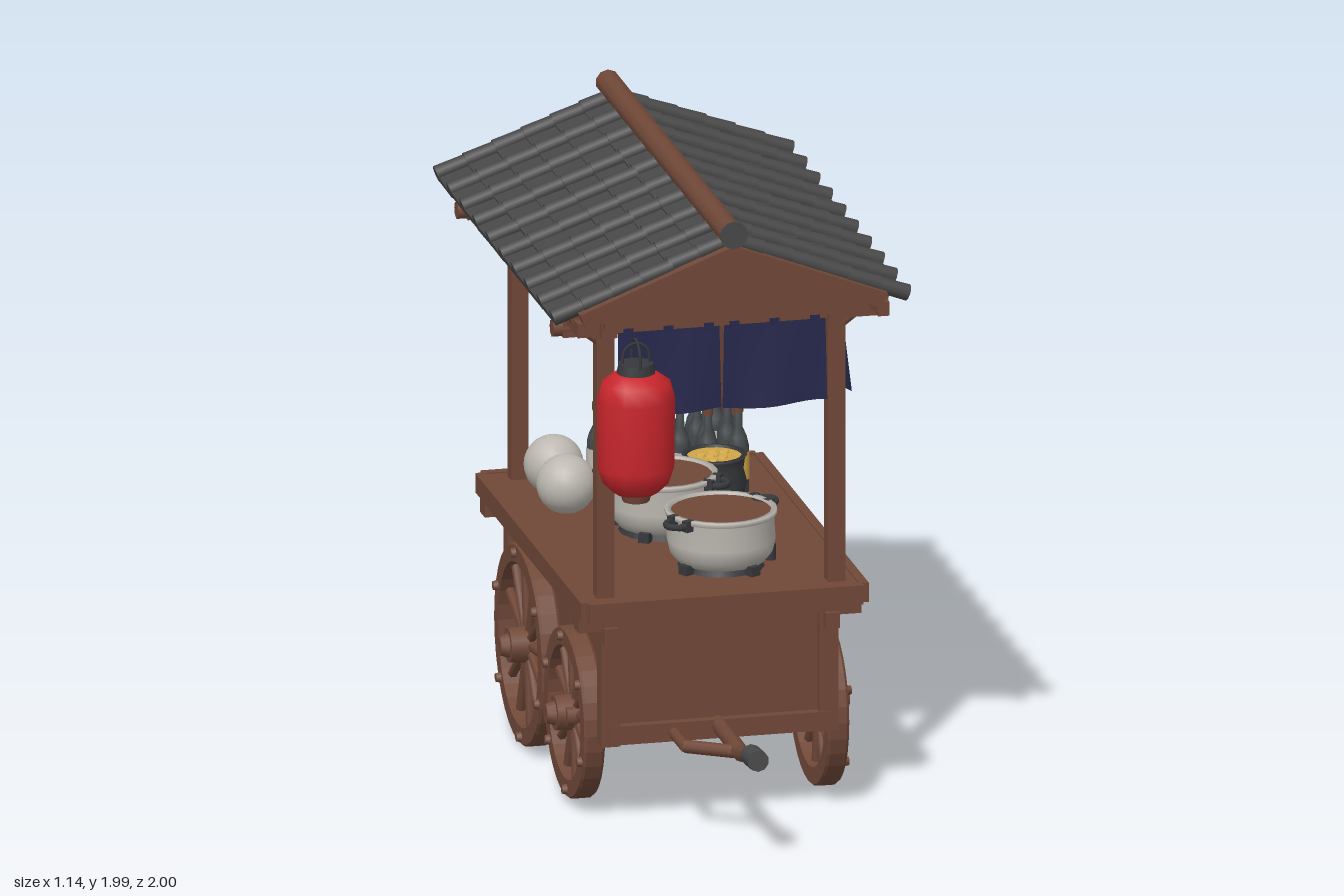
import * as THREE from 'three';

const paint = (name, color) => Object.assign(new THREE.MeshStandardMaterial({ color }), { name });
const wood = paint('brown wood', 0x704838);
const tile = paint('grey tile', 0x484848);
const cloth = paint('navy cloth', 0x26284c);
cloth.side = THREE.DoubleSide;
const red = paint('lantern red', 0xc8262c);
const white = paint('pale enamel', 0xbcb7b0);
const glass = paint('dark glass', 0x43484a);
const iron = paint('dark iron', 0x36383b);
const yellow = paint('yellow', 0xcfa546);

let seed = 7;
const rnd = () => ((seed = (seed * 16807) % 2147483647) / 2147483647) - 0.5;

function flat(geo) {
  const g = geo.index ? geo.toNonIndexed() : geo;
  g.computeVertexNormals();
  return g;
}
function add(parent, name, geo, mat, x = 0, y = 0, z = 0) {
  const m = new THREE.Mesh(geo, mat);
  m.name = name;
  m.position.set(x, y, z);
  parent.add(m);
  return m;
}
const box = (p, name, mat, w, h, d, x, y, z) => add(p, name, new THREE.BoxGeometry(w, h, d), mat, x, y, z);
const cyl = (p, name, mat, r1, r2, h, x, y, z, n = 16) =>
  add(p, name, new THREE.CylinderGeometry(r1, r2, h, n), mat, x, y, z);
// Round bar between two points
function bar(p, name, mat, a, b, r, n = 8) {
  const A = new THREE.Vector3(...a), B = new THREE.Vector3(...b), d = B.clone().sub(A);
  const m = cyl(p, name, mat, r, r, d.length(), 0, 0, 0, n);
  m.position.copy(A).add(B).multiplyScalar(0.5);
  m.quaternion.setFromUnitVectors(new THREE.Vector3(0, 1, 0), d.normalize());
  return m;
}
const lathe = (pts, n) => new THREE.LatheGeometry(pts.map(([r, y]) => new THREE.Vector2(r, y)), n);
function group(parent, name, x = 0, y = 0, z = 0) {
  const g = new THREE.Group();
  g.name = name;
  g.position.set(x, y, z);
  parent.add(g);
  return g;
}

function buildBody(root) {
  const g = group(root, 'cartBody');
  box(g, 'cabinet', wood, 0.66, 0.42, 1.22, 0, 0.5, -0.135);
  box(g, 'counterTop', wood, 0.88, 0.05, 1.39, 0, 0.732, -0.12);
  for (const s of [-1, 1]) {
    box(g, 'counterEdge', wood, 0.03, 0.062, 1.375, s * 0.44, 0.73, -0.12);
    box(g, 'sideTopRail', wood, 0.05, 0.05, 1.3, s * 0.345, 0.685, -0.135);
    box(g, 'sideSill', wood, 0.05, 0.06, 1.28, s * 0.325, 0.305, -0.135);
    // Planked sides
    for (let i = 0; i < 7; i++) box(g, 'plank', wood, 0.008, 0.36, 0.166, s * 0.333, 0.5, 0.375 - i * 0.171);
    for (const z of [0.475, -0.745]) {
      box(g, 'cornerPost', wood, 0.06, 0.44, 0.055, s * 0.345, 0.49, z);
      box(g, 'counterBracket', wood, 0.075, 0.06, 0.06, s * 0.41, 0.675, z);
      box(g, 'bracketPeg', wood, 0.045, 0.05, 0.045, s * 0.35, 0.635, z + Math.sign(z) * 0.035);
    }
    const endZ = s > 0 ? 0.59 : -0.83;
    box(g, 'counterEndEdge', wood, 0.865, 0.062, 0.03, 0, 0.73, endZ - s * 0.015);
    box(g, 'endSill', wood, 0.7, 0.06, 0.04, 0, 0.305, s > 0 ? 0.485 : -0.755);
    box(g, 'endTopRail', wood, 0.7, 0.05, 0.04, 0, 0.685, s > 0 ? 0.485 : -0.755);
  }
  for (const z of [0.225, -0.42]) {
    const y = z > 0 ? 0.29 : 0.327;
    bar(g, 'axle', wood, [-0.42, y, z], [0.42, y, z], 0.03);
    box(g, 'axleBeam', wood, 0.62, 0.05, 0.06, 0, 0.275, z);
  }
  box(g, 'propLeg', wood, 0.04, 0.2, 0.04, 0, 0.215, -0.69);
  // Front drawbar with a dark grip and a side brace
  bar(g, 'drawbar', wood, [0, 0.315, 0.45], [0, 0.31, 0.79], 0.026);
  bar(g, 'drawbarRise', wood, [0, 0.31, 0.78], [0, 0.345, 0.92], 0.026);
  bar(g, 'drawbarGrip', tile, [0, 0.343, 0.905], [0, 0.352, 1], 0.034, 10);
  bar(g, 'drawbarBrace', wood, [-0.145, 0.302, 0.645], [0, 0.305, 0.75], 0.021);
  bar(g, 'drawbarBraceFoot', wood, [-0.145, 0.302, 0.655], [-0.145, 0.302, 0.49], 0.018);
  // Rear push handle
  bar(g, 'pushStem', iron, [0, 0.43, -0.76], [0, 0.43, -0.985], 0.011);
  bar(g, 'pushBar', iron, [-0.13, 0.43, -0.985], [0.13, 0.43, -0.985], 0.014);
}

function buildWheel(root, name, side, y, z, R) {
  const g = group(root, name, side * 0.38, y, z);
  g.rotation.y = side * Math.PI / 2;
  const ri = R - 0.058, w = 0.033;
  add(g, 'rim', flat(lathe([[ri, -w], [R - 0.006, -w], [R, -w + 0.008], [R, w - 0.008], [R - 0.006, w], [ri, w], [ri, -w]], 32)), wood)
    .rotation.x = Math.PI / 2;
  for (let i = 0; i < 12; i++) {
    const a = (i / 12) * Math.PI * 2 + 0.13, c = Math.cos(a), s = Math.sin(a);
    bar(g, 'spoke', wood, [c * 0.03, s * 0.03, 0], [c * (ri + 0.01), s * (ri + 0.01), 0], 0.016, 6);
    if (i % 2) cyl(g, 'rimBolt', wood, 0.014, 0.018, 0.02, c * (R - 0.028), s * (R - 0.028), 0.038, 6).rotation.x = Math.PI / 2;
  }
  cyl(g, 'hub', wood, 0.055, 0.06, 0.1, 0, 0, 0.015, 12).rotation.x = Math.PI / 2;
  cyl(g, 'hubCap', wood, 0.03, 0.042, 0.035, 0, 0, 0.075, 10).rotation.x = Math.PI / 2;
}

function buildRoof(root) {
  const g = group(root, 'roof');
  const ang = Math.atan(0.385), zc = -0.12;
  for (const s of [-1, 1]) {
    // Slope frame: local x runs down the slope from the ridge
    const slope = group(g, s > 0 ? 'leftSlope' : 'rightSlope', 0, 1.922, zc);
    if (s < 0) slope.rotation.y = Math.PI;
    const f = group(slope, 'slopeFrame');
    f.rotation.z = -ang;
    box(f, 'roofDeck', wood, 0.55, 0.02, 1.5, 0.275, -0.035, 0);
    const rows = 6, len = 0.592 / rows, pitch = 0.168;
    for (let c = 0; c < 9; c++) for (let r = 0; r < rows; r++) {
      const t = box(f, 'roofTile', tile, len + 0.016, 0.02, pitch - 0.002,
        (r + 0.5) * len, -0.014 + rnd() * 0.004, (c - 4) * pitch);
      t.rotation.set(rnd() * 0.03, rnd() * 0.02, 0.06 + rnd() * 0.03);
    }
    for (let c = 0; c < 10; c++) for (let r = 0; r < rows; r++) {
      const roll = cyl(f, 'coverTile', tile, 0.024, 0.026, len + 0.008, (r + 0.5) * len + 0.004, 0.002, (c - 4.5) * pitch + rnd() * 0.008, 10);
      roll.rotation.z = Math.PI / 2 + 0.03;
    }
    // Bargeboards and purlins under each slope
    for (const z of [0.79, -0.79]) {
      box(f, 'bargeboard', wood, 0.525, 0.05, 0.035, 0.262, -0.032, z);
      box(f, 'innerRafter', wood, 0.47, 0.03, 0.04, 0.235, -0.066, z * 0.94);
    }
    box(g, 'eavePurlin', wood, 0.035, 0.045, 1.6, s * 0.475, 1.675, zc);
    box(g, 'sideBeam', wood, 0.05, 0.05, 1.34, s * 0.36, 1.627, zc);
    for (const z of [0.495, -0.745]) {
      const px = z > 0 ? 0.365 : 0.335;
      box(g, 'roofPost', wood, 0.055, 0.9, 0.052, s * px, 1.2, z);
      cyl(g, 'beamEnd', wood, 0.028, 0.028, 0.06, s * 0.5, 1.632, z, 8).rotation.z = Math.PI / 2;
      bar(g, 'knee', wood, [s * px, 1.57, z], [s * 0.46, 1.64, z], 0.017, 6);
    }
  }
  const tri = new THREE.Shape([[-0.38, 1.64], [0.38, 1.64], [0.4, 1.715], [0, 1.875], [-0.4, 1.715]].map(p => new THREE.Vector2(...p)));
  for (const z of [0.56, -0.83]) {
    add(g, 'gableWall', new THREE.ExtrudeGeometry(tri, { depth: 0.02, bevelEnabled: false }), wood, 0, 0, z);
  }
  for (const z of [0.495, -0.745]) box(g, 'tieBeam', wood, 1.0, 0.05, 0.05, 0, 1.63, z);
  box(g, 'ceiling', wood, 0.76, 0.015, 1.4, 0, 1.652, -0.125);
  bar(g, 'ridgeBeam', wood, [0, 1.943, 0.685], [0, 1.943, -0.955], 0.039, 10);
  bar(g, 'ridgeEndCap', tile, [0, 1.95, 0.683], [0, 1.95, 0.69], 0.044, 12);
}

// Hanging cloth panels with a soft wave, split at the edges
function buildCurtain(root, name, x, z, width, count, turn, flare) {
  const g = group(root, name, x, 1.345, z);
  g.rotation.y = turn;
  const w = width / count, h = 0.265;
  for (let i = 0; i < count; i++) {
    const geo = new THREE.PlaneGeometry(w - 0.004, h, 10, 6), p = geo.attributes.position;
    for (let k = 0; k < p.count; k++) {
      const low = 0.5 - p.getY(k) / h, u = p.getX(k) / w;
      p.setZ(k, low * (flare + 0.008 * Math.sin(u * 8 + i * 1.7)));
      p.setX(k, p.getX(k) * (1 - 0.03 * (1 - low)));
      p.setY(k, p.getY(k) - low * 0.006 * Math.cos(u * 5 + i));
    }
    geo.computeVertexNormals();
    const cx = (i + 0.5) * w - width / 2;
    add(g, 'curtainPanel', geo, cloth, cx, h / 2, 0);
    for (const s of [-0.38, 0, 0.38]) box(g, 'curtainLoop', cloth, 0.03, 0.035, 0.008, cx + s * w, h + 0.008, 0);
  }
}

function buildLantern(root) {
  const g = group(root, 'lantern', -0.305, 0, 0.665);
  add(g, 'lanternShade', lathe([[0.04, 1.14], [0.068, 1.14], [0.105, 1.175], [0.122, 1.225], [0.123, 1.44], [0.108, 1.495], [0.065, 1.525], [0.04, 1.527]], 12), red)
    .scale.z = 0.93;
  cyl(g, 'lanternCap', iron, 0.055, 0.062, 0.035, 0, 1.538, 0, 12);
  cyl(g, 'lanternFoot', wood, 0.05, 0.042, 0.032, 0, 1.128, 0, 10);
  const wire = (...p) => add(g, 'hangerWire', new THREE.TubeGeometry(
    new THREE.CatmullRomCurve3(p.map(v => new THREE.Vector3(...v))), 16, 0.005, 5), iron);
  wire([-0.045, 1.55, 0], [-0.035, 1.6, 0], [0, 1.62, 0], [0.035, 1.6, 0], [0.045, 1.55, 0]);
  wire([0, 1.55, 0.06], [0, 1.6, 0.05], [0, 1.63, 0], [0, 1.605, -0.05], [0, 1.555, -0.06]);
}

function buildPot(root, x, z, r, turn) {
  const g = group(root, 'cookingPot', x, 0.757, z);
  g.rotation.y = turn;
  cyl(g, 'burner', iron, r * 0.72, r * 0.8, 0.03, 0, 0.015, 0, 16);
  add(g, 'potShell', lathe([[0, 0.02], [r * 0.8, 0.02], [r * 0.95, 0.05], [r, 0.09], [r * 0.97, 0.165], [r * 1.03, 0.17],
    [r * 1.03, 0.185], [r * 0.93, 0.185], [r * 0.92, 0.15]], 24), white);
  cyl(g, 'broth', wood, r * 0.93, r * 0.93, 0.01, 0, 0.172, 0, 24);
  cyl(g, 'burnerKnob', iron, 0.018, 0.018, 0.05, r * 0.9, 0.025, r * 0.35, 8);
  for (let i = 0; i < 4; i++) {
    const a = i * Math.PI / 2, c = Math.cos(a), s = Math.sin(a);
    box(g, 'burnerFoot', iron, 0.035, 0.03, 0.035, c * r * 0.85, 0.015, s * r * 0.85);
    if (i % 2) continue;
    const h = add(g, 'potHandle', new THREE.TorusGeometry(0.036, 0.011, 6, 12), iron, c * (r + 0.012), 0.168, 0);
    h.rotation.x = Math.PI / 2;
    for (const t of [-1, 1]) box(g, 'handleMount', iron, 0.03, 0.035, 0.022, c * r, 0.168, t * 0.035);
  }
}

function buildBottle(root, x, z, h, label) {
  const g = group(root, 'bottle', x, 0.757, z), r = 0.033;
  add(g, 'bottleGlass', lathe([[0, 0], [r, 0], [r, h * 0.52], [r * 0.8, h * 0.62], [r * 0.42, h * 0.72], [r * 0.38, h * 0.92], [0, h * 0.92]], 12), glass);
  if (label) cyl(g, 'bottleLabel', label, r + 0.002, r + 0.002, h * 0.3, 0, h * 0.3, 0, 12);
  if (label === red) cyl(g, 'labelTop', white, r + 0.003, r + 0.003, h * 0.13, 0, h * 0.42, 0, 12);
  cyl(g, 'bottleCap', wood, r * 0.5, r * 0.46, h * 0.1, 0, h * 0.95, 0, 10);
}

export function createModel() {
  const root = new THREE.Group();
  root.name = 'foodCart';
  buildBody(root);
  for (const s of [-1, 1]) {
    buildWheel(root, 'frontWheel', s, 0.288, s > 0 ? 0.225 : 0.175, 0.268);
    buildWheel(root, 'rearWheel', s, 0.322, -0.425, 0.316);
  }
  buildRoof(root);
  buildCurtain(root, 'frontCurtain', 0, 0.525, 0.67, 2, 0, 0.01);
  buildCurtain(root, 'rearCurtain', 0, -0.75, 0.62, 2, Math.PI, 0.01);
  buildCurtain(root, 'sideCurtain', 0.395, -0.125, 1.19, 4, Math.PI / 2, 0.025);
  buildLantern(root);

  buildPot(root, 0.06, 0.27, 0.168, 0.5);
  buildPot(root, -0.03, -0.13, 0.168, -0.6);
  // Small dark pot heaped with yellow food
  const k = group(root, 'smallPot', 0.175, 0.757, -0.29);
  add(k, 'smallPotShell', lathe([[0, 0.005], [0.06, 0.005], [0.09, 0.045], [0.102, 0.09], [0.09, 0.135], [0.095, 0.17], [0.102, 0.178], [0.085, 0.178], [0.083, 0.14]], 20), iron);
  cyl(k, 'smallPotFood', yellow, 0.085, 0.085, 0.02, 0, 0.162, 0, 16);
  for (let i = 0; i < 7; i++)
    add(k, 'foodPiece', new THREE.IcosahedronGeometry(0.024, 0), yellow, Math.cos(i * 2.4) * 0.02 * Math.sqrt(i), 0.16, Math.sin(i * 2.4) * 0.02 * Math.sqrt(i));
  // Two pale round jars
  for (const [x, z] of [[-0.27, -0.385], [-0.26, -0.59]])
    add(root, 'roundJar', new THREE.SphereGeometry(0.093, 20, 14), white, x, 0.842, z);

  // Tall bottles along the left edge, shorter ones filling the rear
  [yellow, yellow, white, red].forEach((label, i) => buildBottle(root, 0.29 - (i % 2) * 0.018, -0.45 - i * 0.072, 0.285, label));
  for (let i = 0; i < 4; i++) buildBottle(root, 0.195 + (i % 2) * 0.012, -0.455 - i * 0.072, 0.28, i % 2 ? white : null);
  const short = [[0.125, -0.53], [0.06, -0.6], [0.125, -0.68], [0.04, -0.68], [-0.03, -0.56], [-0.04, -0.67], [-0.115, -0.62]];
  short.forEach(([x, z], i) => buildBottle(root, x, z, 0.265, i % 2 ? null : white));
  return root;
}
